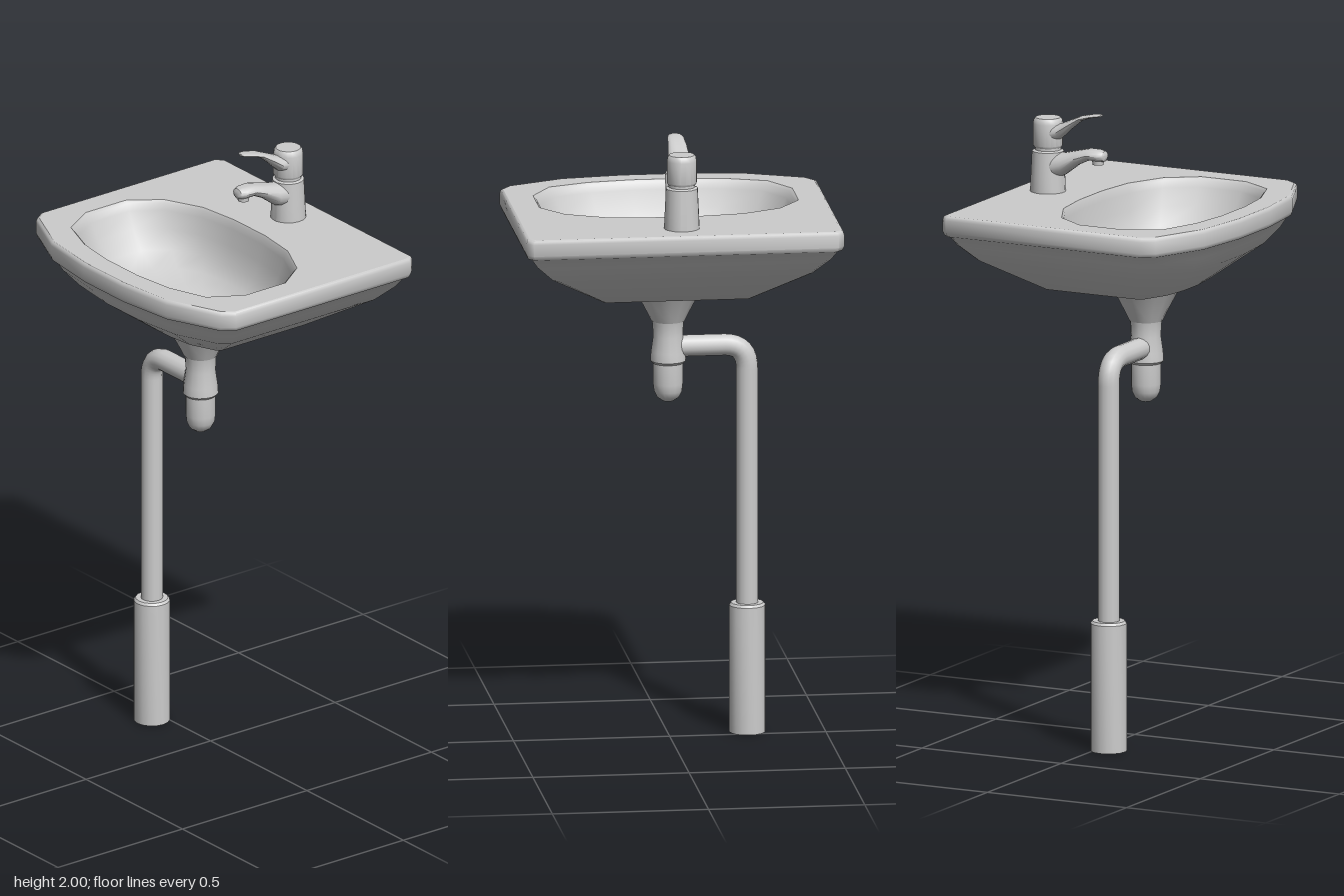
import * as THREE from 'three';
import { toCreasedNormals } from 'three/addons/utils/BufferGeometryUtils.js';

const V = (x, y, z) => new THREE.Vector3(x, y, z);

// Skin a list of equal-length rings, with optional end caps; flip turns it inside out.
function loft(rings, { capStart = false, capEnd = false, flip = false, crease = 0.7 } = {}) {
  const n = rings[0].length, pos = [], idx = [];
  const tri = (a, b, c) => (flip ? idx.push(a, c, b) : idx.push(a, b, c));
  rings.forEach(r => r.forEach(p => pos.push(p.x, p.y, p.z)));
  for (let i = 0; i < rings.length - 1; i++) {
    for (let j = 0; j < n; j++) {
      const k = (j + 1) % n, a = i * n + j, b = i * n + k;
      tri(a, b, a + n);
      tri(b, b + n, a + n);
    }
  }
  const cap = (ring, base, start) => {
    const c = ring.reduce((s, p) => s.add(p), V(0, 0, 0)).divideScalar(n);
    const m = pos.length / 3;
    pos.push(c.x, c.y, c.z);
    for (let j = 0; j < n; j++) {
      const k = (j + 1) % n;
      if (start) tri(m, base + k, base + j);
      else tri(m, base + j, base + k);
    }
  };
  if (capStart) cap(rings[0], 0, true);
  if (capEnd) cap(rings[rings.length - 1], (rings.length - 1) * n, false);
  const g = new THREE.BufferGeometry();
  g.setAttribute('position', new THREE.Float32BufferAttribute(pos, 3));
  g.setIndex(idx);
  return toCreasedNormals(g, crease);
}

// Oval cross-sections [x, centre y, half height, half width] running towards -x.
const ovals = (sections, sides = 14) => sections.map(([x, y, h, w]) =>
  Array.from({ length: sides }, (_, i) => {
    const a = (i / sides) * Math.PI * 2;
    return V(x, y + Math.sin(a) * h, Math.cos(a) * w);
  }));

// Close a half outline by mirroring it across z = 0.
const mirrorZ = half => [...half, ...half.slice().reverse().map(([x, z]) => [x, -z])];

export function createModel() {
  const model = new THREE.Group();
  const ceramic = new THREE.MeshStandardMaterial({ color: 0xcccccc });
  ceramic.name = 'light grey';
  const add = (name, geometry, x = 0, y = 0, z = 0, parent = model) => {
    const m = new THREE.Mesh(geometry, ceramic);
    m.name = name;
    m.position.set(x, y, z);
    parent.add(m);
    return m;
  };
  const lathe = (pts, sides, crease = 0.6) => toCreasedNormals(
    new THREE.LatheGeometry(pts.map(p => new THREE.Vector2(...p)), sides), crease);

  const TOP = 1.735, DX = -0.04, DZ = 0.005;
  const outline = mirrorZ([[0.432, 0.488], [0.41, 0.508], [-0.29, 0.508],
    [-0.33, 0.48], [-0.408, 0.3], [-0.433, 0.1]]);
  const bowlRim = mirrorZ([[0.158, 0.08], [0.14, 0.22], [0.08, 0.345], [-0.02, 0.415],
    [-0.18, 0.415], [-0.29, 0.35], [-0.337, 0.22], [-0.355, 0.08]]);

  // Basin
  const basin = new THREE.Group();
  basin.name = 'basin';
  model.add(basin);
  const scaled = (s, y) => outline.map(([x, z]) => V(x * s, y, z * s));

  const shape = new THREE.Shape(outline.map(([x, z]) => new THREE.Vector2(x * 0.98, z * 0.98)));
  shape.holes.push(new THREE.Path(bowlRim.map(([x, z]) => new THREE.Vector2(x, z))));
  add('deck', new THREE.ShapeGeometry(shape).rotateX(-Math.PI / 2), 0, TOP, 0, basin);

  add('rimAndUnderside', loft([
    scaled(0.98, TOP), scaled(0.994, TOP - 0.004), scaled(1, TOP - 0.014),
    scaled(1, 1.683), scaled(0.99, 1.67), scaled(0.965, 1.665), scaled(0.925, 1.635),
    scaled(0.82, 1.582), scaled(0.465, 1.47),
  ], { capEnd: true, crease: 0.9 }), 0, 0, 0, basin);

  // Bowl hollow, blending from its rim into the round drain
  const bowlRing = (s, y) => bowlRim.map(([x, z]) => {
    const a = Math.atan2(z - DZ, x - DX), r = 0.042 * (1 - s);
    return V(DX + (x - DX) * s + Math.cos(a) * r, y, DZ + (z - DZ) * s + Math.sin(a) * r);
  });
  add('bowl', loft([
    bowlRing(1, TOP), bowlRing(0.975, 1.727), bowlRing(0.945, 1.705), bowlRing(0.88, 1.65),
    bowlRing(0.77, 1.592), bowlRing(0.6, 1.55), bowlRing(0.35, 1.525), bowlRing(0.1, 1.51),
    bowlRing(0, 1.5), bowlRing(0, 1.478),
  ], { flip: true, capEnd: true, crease: 1.1 }), 0, 0, 0, basin);

  // Waste outlet and bottle trap
  add('outletFunnel', lathe([[0.054, 1.35], [0.066, 1.375], [0.1, 1.44], [0.122, 1.475]], 16), DX, 0, 0);
  add('trapCollar', lathe([[0, 1.212], [0.05, 1.212], [0.057, 1.22], [0.055, 1.25], [0.048, 1.3],
    [0.05, 1.34], [0.053, 1.355], [0, 1.355]], 16), DX, 0, 0);
  add('trapCup', lathe([[0, 1.085], [0.018, 1.088], [0.035, 1.1], [0.045, 1.12],
    [0.048, 1.145], [0.048, 1.215]], 16), DX, 0, 0);

  // Drain pipe with one bend, and its floor sleeve
  const PZ = -0.253, PY = 1.265;
  const path = new THREE.CurvePath();
  path.add(new THREE.LineCurve3(V(DX, PY, -0.03), V(DX, PY, PZ + 0.075)));
  path.add(new THREE.QuadraticBezierCurve3(V(DX, PY, PZ + 0.075), V(DX, PY, PZ), V(DX, PY - 0.08, PZ)));
  path.add(new THREE.LineCurve3(V(DX, PY - 0.08, PZ), V(DX, 0.4, PZ)));
  add('drainPipe', new THREE.TubeGeometry(path, 70, 0.035, 14));
  add('floorSleeve', lathe([[0, 0], [0.058, 0], [0.058, 0.414], [0.052, 0.422], [0, 0.422]], 16), DX, 0, PZ);

  // Mixer tap
  const tap = new THREE.Group();
  tap.name = 'tap';
  model.add(tap);
  const TX = 0.312;
  add('tapBody', lathe([[0.057, TOP - 0.002], [0.055, 1.78], [0.051, 1.866], [0.042, 1.87],
    [0.042, 1.88], [0, 1.88]], 18), TX, 0, 0, tap);
  add('spout', loft(ovals([
    [0.32, 1.815, 0.045, 0.046], [0.25, 1.829, 0.037, 0.044], [0.2, 1.854, 0.024, 0.039],
    [0.16, 1.868, 0.019, 0.035], [0.125, 1.867, 0.02, 0.031], [0.108, 1.866, 0.017, 0.022],
    [0.103, 1.865, 0.009, 0.012],
  ]), { capStart: true, capEnd: true }), 0, 0, 0, tap);
  add('spoutNozzle', new THREE.CylinderGeometry(0.02, 0.018, 0.025, 14), 0.132, 1.85, 0, tap);
  add('leverCap', lathe([[0, 1.878], [0.044, 1.878], [0.048, 1.885], [0.048, 1.955],
    [0.045, 1.968], [0.04, 1.974], [0, 1.974]], 18), TX, 0, 0, tap);
  add('lever', loft(ovals([
    [0.31, 1.925, 0.035, 0.042], [0.265, 1.933, 0.025, 0.039], [0.23, 1.957, 0.016, 0.034],
    [0.19, 1.982, 0.008, 0.029], [0.15, 1.993, 0.005, 0.026], [0.128, 1.996, 0.004, 0.02],
    [0.12, 1.997, 0.003, 0.01],
  ]), { capStart: true, capEnd: true }), 0, 0, 0, tap);

  return model;
}
